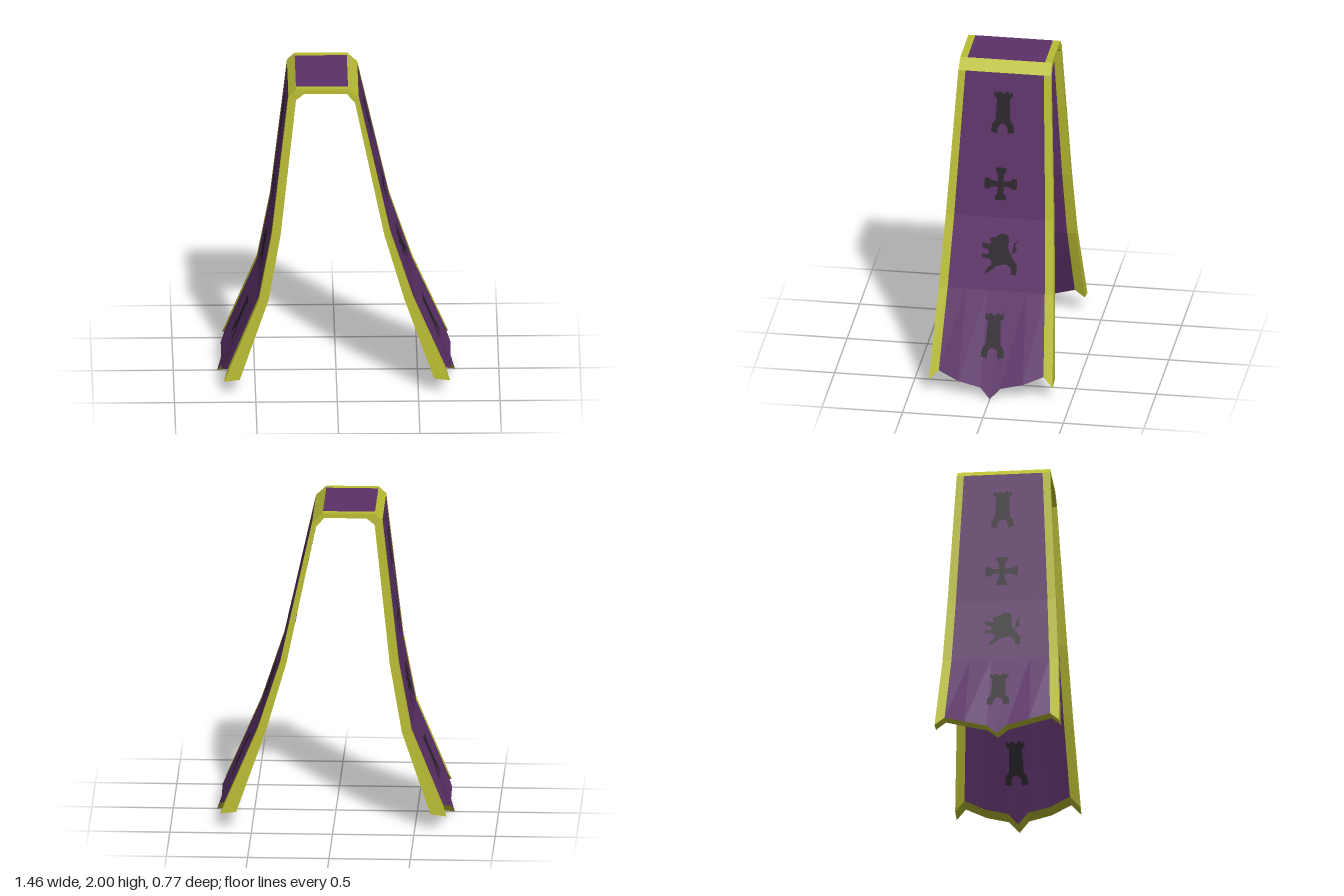
import * as THREE from 'three';

const mat = (name, color, side = THREE.FrontSide) =>
  Object.assign(new THREE.MeshStandardMaterial({ color, side }), { name });

// Bends of the draped cloth, left end to right end: outer x, y, inner x, y
const bends = [
  [-0.48, 0.62, -0.42, 0.62], [-0.40, 1.05, -0.345, 1.05],
  [-0.297, 1.955, -0.25, 1.93], [-0.25, 2.0, -0.2, 1.97],
  [0.07, 2.0, 0.06, 1.97], [0.135, 1.94, 0.112, 1.91],
  [0.33, 1.05, 0.29, 1.05], [0.47, 0.62, 0.415, 0.62],
];
// Columns across the width (fraction of half width) and the pointed hem at each one
const columns = [-1, -0.845, -0.52, -0.16, 0, 0.16, 0.52, 0.845, 1];
const hem = [[0.695, 0.09], [0.672, 0.148], [0.705, 0.10], [0.705, 0.065], [0.73, 0.002]];
const LAST = bends.length + 1;
const halfWidth = (y) => 0.285 + 0.1 * (2 - y) / 1.91;

// Point on the outer or inner skin at station i and column j
function point(i, j, inner) {
  if (i === 0 || i === LAST) {
    const [x, y] = hem[Math.min(j, 8 - j)];
    const side = i === 0 ? -1 : 1;
    return [side * (inner ? x - 0.098 : x), inner ? y + 0.012 : y, columns[j] * 0.385];
  }
  const b = bends[i - 1];
  const x = inner ? b[2] : b[0], y = inner ? b[3] : b[1];
  return [x, y, columns[j] * halfWidth(y)];
}

function quad(out, a, b, c, d) {
  out.push(...a, ...b, ...c, ...a, ...c, ...d);
}

function toMesh(name, positions, material) {
  const g = new THREE.BufferGeometry();
  g.setAttribute('position', new THREE.Float32BufferAttribute(positions, 3));
  g.computeVertexNormals();
  const m = new THREE.Mesh(g, material);
  m.name = name;
  return m;
}

// Emblem outlines: u to the viewer's right, v up from the emblem's centre
function shapeOf(points) {
  return new THREE.Shape(points.map(([x, y]) => new THREE.Vector2(x, y)));
}
const mirrored = (half) => [...half, ...half.slice().reverse().map(([x, y]) => [-x, y])];

const towerShape = shapeOf(mirrored([
  [0.012, 0.118], [0.012, 0.128], [0.034, 0.128], [0.036, 0.116], [0.044, 0.116],
  [0.046, 0.126], [0.058, 0.124], [0.056, 0.098], [0.04, 0.085], [0.046, -0.05],
  [0.066, -0.075], [0.072, -0.122], [0.034, -0.13], [0.028, -0.088], [0.012, -0.072],
]));

const crossPoints = [];
for (let k = 0; k < 4; k++) {
  const c = Math.cos(k * Math.PI / 2), s = Math.sin(k * Math.PI / 2);
  for (const [x, y] of [[0.016, -0.016], [0.062, -0.02], [0.074, -0.034], [0.1, -0.032],
    [0.1, 0.032], [0.074, 0.034], [0.062, 0.02]]) crossPoints.push([x * c - y * s, x * s + y * c]);
}
const crossShape = shapeOf(crossPoints);

const lionShape = shapeOf([
  [-0.02, 0.1], [0.02, 0.126], [0.058, 0.115], [0.066, 0.085], [0.062, 0.045], [0.075, 0.01],
  [0.1, -0.03], [0.122, -0.06], [0.118, -0.118], [0.085, -0.112], [0.088, -0.08],
  [0.055, -0.055], [0.02, -0.062], [-0.01, -0.07], [-0.04, -0.1], [-0.078, -0.117],
  [-0.068, -0.09], [-0.034, -0.06], [-0.045, -0.03], [-0.096, -0.024], [-0.1, 0.004],
  [-0.064, -0.006], [-0.052, 0.02], [-0.096, 0.038], [-0.1, 0.07], [-0.075, 0.058],
  [-0.042, 0.06], [-0.054, 0.094],
].reverse());

const tailShape = shapeOf([[0.085, 0.0], [0.118, 0.03], [0.105, 0.055], [0.125, 0.09],
  [0.098, 0.07], [0.092, 0.04]]);

const emblems = [
  ['upperTower', [towerShape], 1.70], ['cross', [crossShape], 1.26],
  ['lion', [lionShape, tailShape], 0.835], ['lowerTower', [towerShape], 0.365],
];

// x of a skin along the middle of one leg at height y
function skinX(side, inner, y) {
  const ids = side < 0 ? [0, 1, 2, 3] : [LAST, LAST - 1, LAST - 2, LAST - 3];
  for (let k = 0; k < 3; k++) {
    const a = point(ids[k], 4, inner), b = point(ids[k + 1], 4, inner);
    if (y <= b[1] || k === 2) return a[0] + (b[0] - a[0]) * (y - a[1]) / (b[1] - a[1]);
  }
}

export function createModel() {
  const group = new THREE.Group();
  group.name = 'drapedBanner';
  const purple = mat('purple cloth', 0x5c3168);
  const gold = mat('olive gold trim', 0xb9bd33);
  const dark = mat('dark emblem', 0x272129, THREE.DoubleSide);

  // Cloth skins: purple panels framed by gold borders and gold shoulder bands
  const panel = [], trim = [];
  for (let i = 0; i < LAST; i++) {
    for (let j = 0; j < 8; j++) {
      const shoulder = i === 3 || i === 5;
      const out = shoulder || j === 0 || j === 7 ? trim : panel;
      for (const inner of [false, true]) {
        const q = [point(i, j, inner), point(i, j + 1, inner),
          point(i + 1, j + 1, inner), point(i + 1, j, inner)];
        quad(out, ...(inner ? q.reverse() : q));
      }
    }
    // Side edges
    for (const j of [0, 8]) {
      const q = [point(i, j, true), point(i + 1, j, true), point(i + 1, j, false), point(i, j, false)];
      quad(trim, ...(j === 0 ? q.reverse() : q));
    }
  }
  // Hem edges
  for (const i of [0, LAST]) {
    for (let j = 0; j < 8; j++) {
      const q = [point(i, j, true), point(i, j + 1, true), point(i, j + 1, false), point(i, j, false)];
      quad(trim, ...(i === LAST ? q.reverse() : q));
    }
  }
  group.add(toMesh('clothPanels', panel, purple), toMesh('goldTrim', trim, gold));

  // Emblems on the outside and inside of both hanging ends
  for (const side of [-1, 1]) {
    for (const inner of [false, true]) {
      const facing = inner ? -side : side;
      for (const [name, shapes, cy] of emblems) {
        const g = new THREE.ShapeGeometry(shapes);
        const p = g.attributes.position;
        for (let k = 0; k < p.count; k++) {
          const u = p.getX(k), y = cy + p.getY(k);
          p.setXYZ(k, skinX(side, inner, y) + facing * 0.006, y, -facing * u);
        }
        g.computeVertexNormals();
        const m = new THREE.Mesh(g, dark);
        m.name = `${side < 0 ? 'right' : 'left'}${inner ? 'Inner' : 'Outer'}_${name}`;
        group.add(m);
      }
    }
  }
  return group;
}
